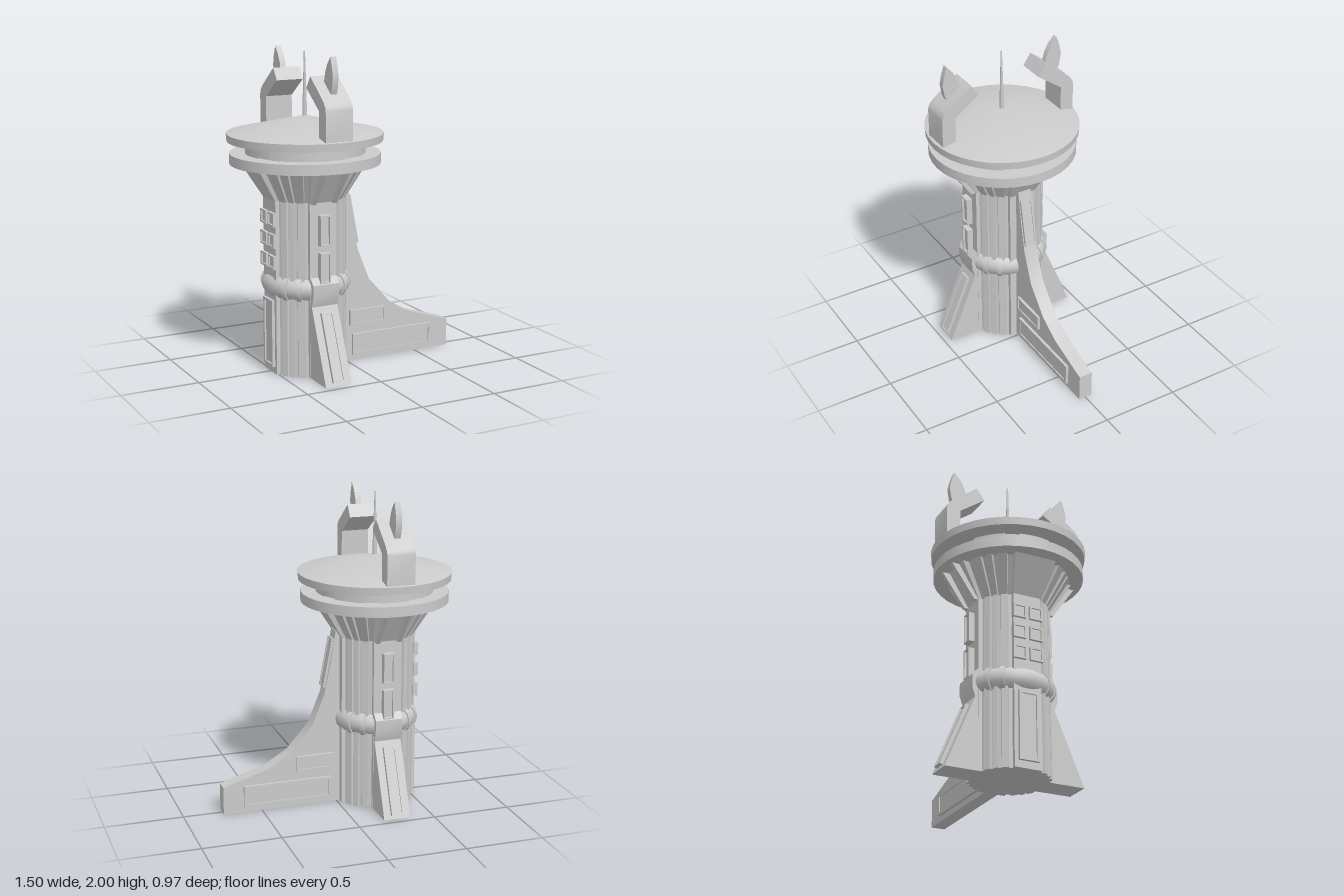
import * as THREE from 'three';
import { toCreasedNormals } from 'three/addons/utils/BufferGeometryUtils.js';

const grey = new THREE.MeshStandardMaterial({ color: 0xcccccc });

function add(parent, name, geometry, x = 0, y = 0, z = 0) {
  const mesh = new THREE.Mesh(toCreasedNormals(geometry, 0.5), grey);
  mesh.name = name;
  mesh.position.set(x, y, z);
  parent.add(mesh);
  return mesh;
}

const shapeOf = (pts) => new THREE.Shape(pts.map(([x, y]) => new THREE.Vector2(x, y)));

// Outline in x/y, extruded to a thickness centred on z = 0
function slab(pts, thickness) {
  return new THREE.ExtrudeGeometry(shapeOf(pts), { depth: thickness, bevelEnabled: false })
    .translate(0, 0, -thickness / 2);
}

// Outline in z/y, extruded to a width centred on x = 0
const sideSlab = (pts, width) => slab(pts, width).rotateY(-Math.PI / 2);

// Raised frame around a recessed plate, facing +z
function panel(parent, name, w, h, x, y, z, depth = 0.02) {
  const group = new THREE.Group();
  group.name = name;
  group.position.set(x, y, z);
  const b = Math.min(w, h) * 0.13;
  const rect = (a, c) => [[-a, -c], [a, -c], [a, c], [-a, c]];
  const frame = shapeOf(rect(w / 2, h / 2));
  frame.holes.push(shapeOf(rect(w / 2 - b, h / 2 - b)));
  add(group, 'frame', new THREE.ExtrudeGeometry(frame, { depth, bevelEnabled: false }));
  add(group, 'plate', new THREE.BoxGeometry(w - b, h - b, depth * 0.65), 0, 0, depth * 0.325);
  parent.add(group);
  return group;
}

// Grooved column section: four flat strips with ribs between them
function columnSection() {
  const quarter = [[-20, 0.262], [20, 0.262], [22, 0.238], [27, 0.238], [28, 0.252], [37, 0.25],
    [38, 0.238], [41, 0.238], [42, 0.252], [48, 0.252], [49, 0.238], [52, 0.238],
    [53, 0.25], [62, 0.252], [63, 0.238], [68, 0.238]];
  const pts = [];
  for (let q = 0; q < 4; q++) {
    for (const [deg, r] of quarter) {
      const a = THREE.MathUtils.degToRad(deg + q * 90);
      pts.push([r * Math.cos(a), r * Math.sin(a)]);
    }
  }
  return shapeOf(pts);
}

function grooved(y0, y1, topScale) {
  const geo = new THREE.ExtrudeGeometry(columnSection(), { depth: y1 - y0, bevelEnabled: false });
  geo.rotateX(-Math.PI / 2);
  const p = geo.attributes.position;
  for (let i = 0; i < p.count; i++) {
    const s = THREE.MathUtils.lerp(1, topScale, p.getY(i) / (y1 - y0));
    p.setX(i, p.getX(i) * s);
    p.setZ(i, p.getZ(i) * s);
  }
  geo.computeVertexNormals();
  return geo.translate(0, y0, 0);
}

const lathe = (pts) => new THREE.LatheGeometry(pts.map(([r, y]) => new THREE.Vector2(r, y)), 36);

// Parts shared by the front and back of the tower, built facing +z
function towerSide(name) {
  const side = new THREE.Group();
  side.name = name;

  add(side, 'buttress', sideSlab([[0, 0], [0.455, 0], [0.265, 0.46], [0.285, 0.52],
    [0.285, 0.6], [0.25, 0.64], [0, 0.64]], 0.175));
  panel(side, 'buttressPanel', 0.08, 0.43, 0, 0.22, 0.363, 0.022).rotation.x = -0.392;
  panel(side, 'lowerWallPanel', 0.07, 0.19, 0, 0.7, 0.245, 0.04);
  panel(side, 'upperWallPanel', 0.07, 0.19, 0, 0.935, 0.245, 0.04);

  // Sloping ribs under the deck
  for (const x of [-0.07, 0.07]) {
    add(side, 'funnelRib', sideSlab([[0.22, 1.1], [0.272, 1.1], [0.425, 1.32], [0.37, 1.32]], 0.025), x);
  }

  // Bent roof arm carrying a pointed blade
  add(side, 'roofArm', sideSlab([[0.375, 1.49], [0.465, 1.49], [0.465, 1.69], [0.458, 1.715],
    [0.435, 1.745], [0.262, 1.877], [0.21, 1.803], [0.375, 1.685]], 0.18));
  add(side, 'roofBlade', sideSlab([[0.3, 1.84], [0.39, 1.775], [0.405, 1.81], [0.417, 1.88],
    [0.405, 1.94], [0.385, 2], [0.345, 1.955], [0.318, 1.905]], 0.038));
  return side;
}

export function createModel() {
  const model = new THREE.Group();
  model.name = 'tower';
  const core = new THREE.Group();
  core.name = 'towerCore';
  core.position.x = -0.267;
  model.add(core);

  // Column and flared support
  add(core, 'column', grooved(0, 1.105, 1));
  add(core, 'funnel', grooved(1.105, 1.32, 1.53));

  // Decks, neck and conical roof
  add(core, 'lowerDeck', lathe([[0, 1.315], [0.468, 1.315], [0.468, 1.38], [0, 1.38]]));
  add(core, 'neck', new THREE.CylinderGeometry(0.36, 0.36, 0.09, 36, 1, true), 0, 1.418, 0);
  for (let i = 0; i < 8; i++) {
    add(core, 'neckPlate', new THREE.CylinderGeometry(0.372, 0.372, 0.08, 4, 1, true,
      i * Math.PI / 4 - 0.27, 0.54), 0, 1.418, 0);
  }
  add(core, 'roof', lathe([[0, 1.455], [0.482, 1.455], [0.486, 1.503], [0, 1.61]]));
  add(core, 'antenna', new THREE.CylinderGeometry(0.004, 0.016, 0.42, 10), 0, 1.79, 0);

  // Pipe around the column with pairs of collars
  add(core, 'pipeRing', new THREE.TorusGeometry(0.2, 0.078, 14, 40).rotateX(Math.PI / 2), 0, 0.56, 0);
  for (let q = 0; q < 4; q++) {
    for (const offset of [-10, 10]) {
      const a = THREE.MathUtils.degToRad(45 + q * 90 + offset);
      const collar = add(core, 'pipeCollar', new THREE.CylinderGeometry(0.087, 0.087, 0.028, 18)
        .rotateX(Math.PI / 2), 0.2 * Math.cos(a), 0.56, 0.2 * Math.sin(a));
      collar.rotation.y = -a;
    }
  }

  // Front and back
  const front = towerSide('frontSide');
  const back = towerSide('backSide');
  back.rotation.y = Math.PI;
  core.add(front, back);

  // Right wall: rows of small panels above a tall one
  const right = new THREE.Group();
  right.name = 'rightSide';
  right.rotation.y = -Math.PI / 2;
  core.add(right);
  for (const y of [0.72, 0.855, 0.99]) {
    for (const x of [-0.055, 0.055]) panel(right, 'smallPanel', 0.085, 0.085, x, y, 0.235, 0.03);
  }
  panel(right, 'tallPanel', 0.13, 0.43, 0, 0.26, 0.235, 0.03);

  // Great curved fin on the left
  const fin = new THREE.Group();
  fin.name = 'leftFin';
  model.add(fin);
  add(fin, 'finBody', slab([[-0.2, 0], [0.75, 0], [0.75, 0.18], [0.46, 0.27], [0.31, 0.36],
    [0.16, 0.53], [0.08, 0.73], [0.04, 0.93], [0.005, 1.14], [-0.2, 1.14]], 0.09));
  for (const s of [1, -1]) {
    const face = new THREE.Group();
    face.name = s > 0 ? 'finFrontPanels' : 'finBackPanels';
    if (s < 0) face.rotation.y = Math.PI;
    panel(face, 'longPanel', 0.58, 0.14, s * 0.328, 0.107, 0.043);
    panel(face, 'shortPanel', 0.255, 0.1, s * 0.145, 0.287, 0.043);
    fin.add(face);
  }
  const slope = new THREE.Group();
  slope.name = 'finEdge';
  slope.position.set(0.043, 0.93, 0);
  slope.rotation.z = 0.19;
  panel(slope, 'edgePanel', 0.08, 0.32, 0, 0, 0, 0.016).rotation.y = Math.PI / 2;
  fin.add(slope);

  return model;
}
